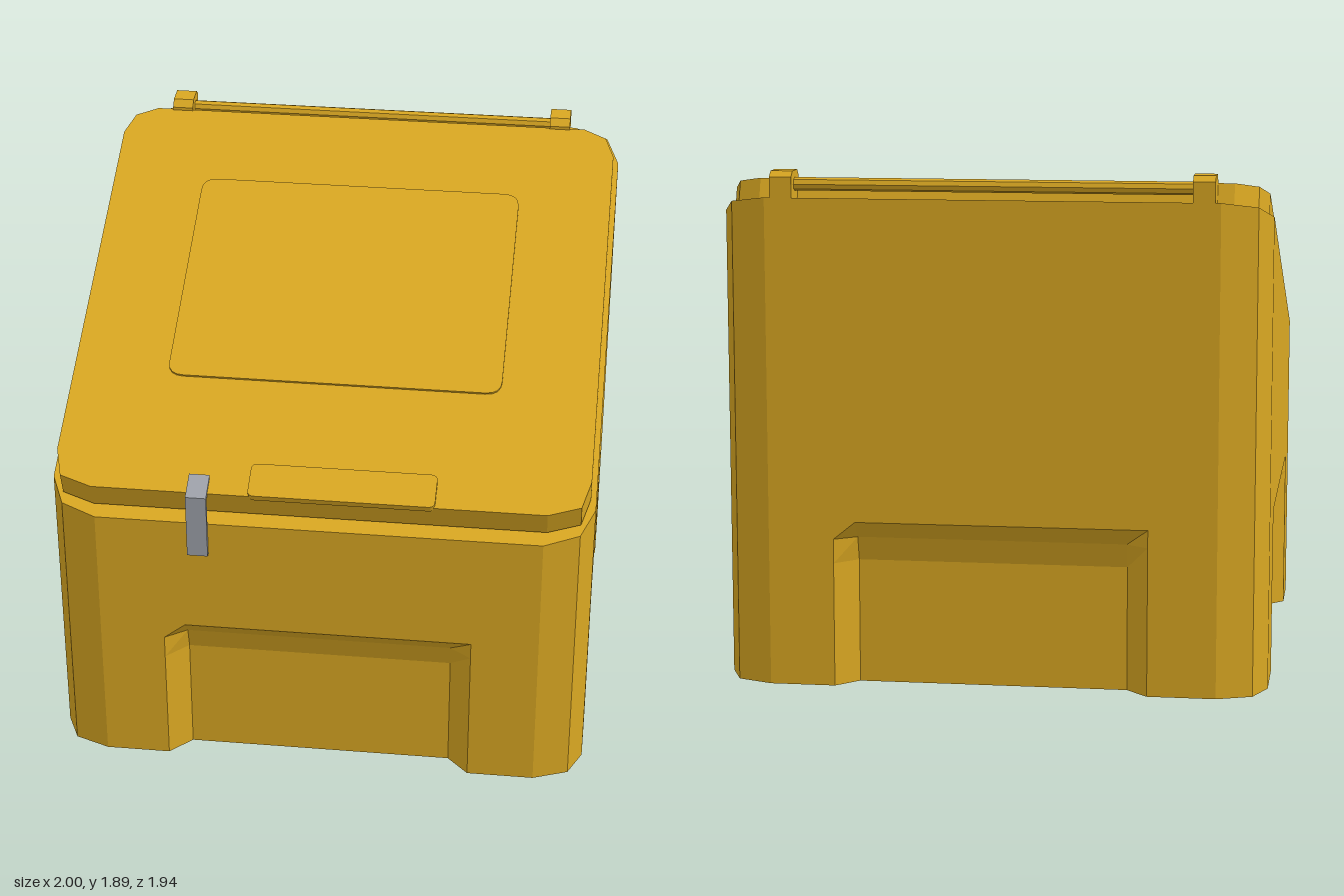
import * as THREE from 'three';

const yellow = new THREE.MeshStandardMaterial({ color: 0xd9a722, flatShading: true });
yellow.name = 'yellow plastic';
const grey = new THREE.MeshStandardMaterial({ color: 0x9ea2aa, flatShading: true });
grey.name = 'grey metal';

const FRONT = 0.95, BACK = -0.97, SIDE = 1, DEPTH = 0.08;
const rimY = (z) => 1.08 + (FRONT - z) * 0.373; // sloping body rim

const mesh = (name, geometry, material = yellow) => {
  const m = new THREE.Mesh(geometry, material);
  m.name = name;
  return m;
};
const shapeOf = (pts) => new THREE.Shape(pts.map(([x, y]) => new THREE.Vector2(x, y)));

function fromTriangles(tris) {
  const g = new THREE.BufferGeometry();
  g.setAttribute('position', new THREE.Float32BufferAttribute(tris.flat(2), 3));
  g.computeVertexNormals();
  return g;
}
const quad = (a, b, c, d) => [[a, b, c], [a, c, d]];

// Profile given as [z, y], extruded along x around a centre
function extrudeX(pts, xCentre, width) {
  const g = new THREE.ExtrudeGeometry(shapeOf(pts), { depth: width, bevelEnabled: false });
  return g.rotateY(-Math.PI / 2).translate(xCentre + width / 2, 0, 0);
}

// Slab given as [x, z] outline, top face at height y
function slab(shape, thickness, y) {
  const g = new THREE.ExtrudeGeometry(shape, { depth: thickness, bevelEnabled: false, curveSegments: 4 });
  return g.rotateX(Math.PI / 2).translate(0, y, 0);
}

function roundedRect(x0, x1, y0, y1, r) {
  const s = new THREE.Shape();
  s.moveTo(x0 + r, y0);
  s.lineTo(x1 - r, y0).quadraticCurveTo(x1, y0, x1, y0 + r);
  s.lineTo(x1, y1 - r).quadraticCurveTo(x1, y1, x1 - r, y1);
  s.lineTo(x0 + r, y1).quadraticCurveTo(x0, y1, x0, y1 - r);
  s.lineTo(x0, y0 + r).quadraticCurveTo(x0, y0, x0 + r, y0);
  return s;
}

// The four walls: u runs to the right as seen from outside
const frontCols = [-0.58, -0.5, 0.49, 0.57];
const sideCols = [-0.55, -0.47, 0.48, 0.56];
const walls = [
  { name: 'frontWall', turn: 0, out: FRONT, u: [-0.82, 0.82], cols: frontCols },
  { name: 'leftWall', turn: 1, out: SIDE, u: [-0.79, 0.8], cols: sideCols },
  { name: 'backWall', turn: 2, out: -BACK, u: [-0.82, 0.82], cols: frontCols },
  { name: 'rightWall', turn: 3, out: SIDE, u: [-0.8, 0.79], cols: sideCols },
];

// Wall coordinates (u, depth) to plan [x, z]
function toPlan({ turn, out }, u, d = 0) {
  const w = out - d;
  return [[u, w], [w, -u], [-u, -w], [-w, u]][turn];
}

function buildWall(wall) {
  const { u: [u0, u1], cols, turn, out, name } = wall;
  const group = new THREE.Group();
  group.name = name;
  const rows = [0, 0.46, 0.55, 0.615], depths = [DEPTH, DEPTH, 0.055, 0];
  const top = (u) => rimY(toPlan(wall, u)[1]);
  const [c0, , , c3] = cols;
  group.add(mesh('wallPanel', new THREE.ShapeGeometry(shapeOf([
    [u0, 0], [c0, 0], [c0, rows[3]], [c3, rows[3]], [c3, 0], [u1, 0], [u1, top(u1)], [u0, top(u0)],
  ]))));
  // Bevelled recess as a small grid
  const p = (i, j) => [cols[i], rows[j], i === 0 || i === 3 ? 0 : -depths[j]];
  const tris = [];
  for (let i = 0; i < 3; i++) {
    for (let j = 0; j < 3; j++) tris.push(...quad(p(i, j), p(i + 1, j), p(i + 1, j + 1), p(i, j + 1)));
  }
  group.add(mesh('recess', fromTriangles(tris)));
  group.rotation.y = turn * Math.PI / 2;
  group.position.set(...[[0, 0, out], [out, 0, 0], [0, 0, -out], [-out, 0, 0]][turn]);
  return group;
}

function buildBody() {
  const body = new THREE.Group();
  body.name = 'body';
  const plan = [], base = [];
  const middles = [[0.95, 0.9], [0.95, -0.92], [-0.95, -0.92], [-0.95, 0.9]];
  walls.forEach((wall, k) => {
    body.add(buildWall(wall));
    const [a, b, c, d] = wall.cols;
    plan.push(toPlan(wall, wall.u[0]), toPlan(wall, wall.u[1]), middles[k]);
    base.push(toPlan(wall, wall.u[0]), toPlan(wall, a), toPlan(wall, b, DEPTH),
      toPlan(wall, c, DEPTH), toPlan(wall, d), toPlan(wall, wall.u[1]), middles[k]);
  });
  // Faceted corners and sloping top
  const corners = [], cap = [];
  const low = ([x, z]) => [x, 0, z], high = ([x, z]) => [x, rimY(z), z];
  plan.forEach((a, i) => {
    const b = plan[(i + 1) % plan.length];
    if (i % 3) corners.push(...quad(low(a), low(b), high(b), high(a)));
    cap.push([[0, rimY(0), 0], high(a), high(b)]);
  });
  body.add(mesh('corners', fromTriangles(corners)), mesh('bodyTop', fromTriangles(cap)));
  body.add(mesh('base', new THREE.ShapeGeometry(shapeOf(base)).rotateX(Math.PI / 2)));
  return body;
}

function buildLid() {
  const lid = new THREE.Group();
  lid.name = 'lid';
  const half = [[0.83, 0.945], [0.95, 0.902], [0.98, 0.785], [0.98, -0.811], [0.945, -0.907], [0.86, -0.95]];
  const outline = [...half, ...half.map(([x, z]) => [-x, z]).reverse()];
  lid.add(mesh('lidSlab', slab(shapeOf(outline), 0.105, 0)));
  lid.add(mesh('raisedPanel', slab(roundedRect(-0.625, 0.625, -0.577, 0.413, 0.06), 0.008, 0.008)));
  lid.add(mesh('gripPlate', slab(roundedRect(-0.255, 0.425, 0.806, 0.952, 0.025), 0.025, 0.014)));
  lid.rotation.x = Math.atan(0.364);
  lid.position.set(0, 1.53, 0.0525);
  return lid;
}

export function createModel() {
  const model = new THREE.Group();
  model.name = 'storageBin';
  model.add(buildBody(), buildLid());

  // Hinge blocks and rod
  const block = [[-0.835, 1.74], [-0.835, 1.865], [-0.86, 1.89], [-0.94, 1.89], [-0.967, 1.87], [-0.967, 1.78]];
  for (const s of [-1, 1]) model.add(mesh('hingeBlock', extrudeX(block, s * 0.76, 0.08)));
  const rod = new THREE.CylinderGeometry(0.024, 0.024, 1.46, 8).rotateZ(Math.PI / 2);
  model.add(mesh('hingeRod', rod.translate(0, 1.841, -0.905)));

  // Latch folded over the front edge
  const strap = [[0.87, 1.242], [0.97, 1.205], [0.97, 0.95], [0.953, 0.95], [0.953, 1.192], [0.87, 1.225]];
  model.add(mesh('latch', extrudeX(strap, -0.44, 0.076), grey));
  return model;
}
